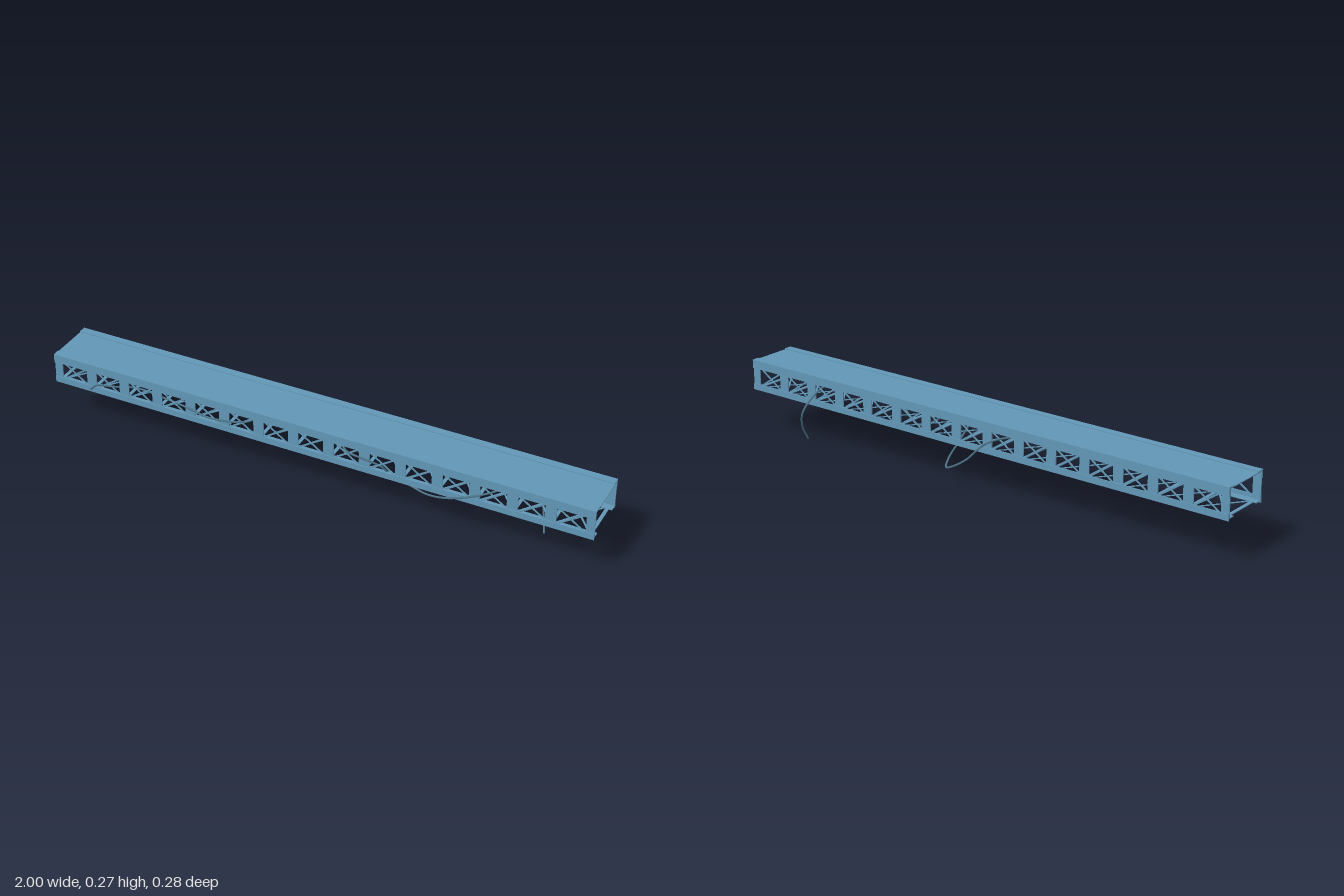
import * as THREE from 'three';

const steel = new THREE.MeshStandardMaterial({ color: 0x6196b5 });
const cableMat = new THREE.MeshStandardMaterial({ color: 0x4c7488 });

const PANELS = 15, PITCH = 1.965 / PANELS, ZC = 0.005; // truss bays and beam axis
const TOP = 0.267, BOTTOM = 0.155, HALF = 0.092;

function box(parent, name, w, h, d, x, y, z) {
  const m = new THREE.Mesh(new THREE.BoxGeometry(w, h, d), steel);
  m.name = name;
  m.position.set(x, y, z);
  parent.add(m);
  return m;
}

// Flat bar laid between two points, keeping its thin side along the given normal
function bar(parent, name, a, b, width, thick, normal) {
  const dir = b.clone().sub(a);
  const m = box(parent, name, dir.length(), width, thick, 0, 0, 0);
  const x = dir.normalize(), y = normal.clone().cross(x);
  m.quaternion.setFromRotationMatrix(new THREE.Matrix4().makeBasis(x, y, normal));
  m.position.copy(a).add(b).multiplyScalar(0.5);
}

function sideTruss(s) {
  const g = new THREE.Group();
  g.name = s > 0 ? 'frontTruss' : 'backTruss';
  const z = s * HALF, normal = new THREE.Vector3(0, 0, 1);
  // Angle-section chords
  box(g, 'topChord', 2, 0.031, 0.004, 0, TOP - 0.0155, z + s * 0.004);
  box(g, 'topFlange', 2, 0.003, 0.028, 0, TOP - 0.0015, z - s * 0.008);
  box(g, 'bottomChord', 2, 0.023, 0.004, 0, BOTTOM + 0.0115, z + s * 0.003);
  box(g, 'bottomFlange', 2, 0.003, 0.028, 0, 0.163, z - s * 0.011);
  // Posts
  for (let i = 0; i <= PANELS; i++) {
    const end = i === 0 || i === PANELS;
    const x = end ? Math.sign(i - 1) * 0.985 : (i - PANELS / 2) * PITCH;
    box(g, 'post', end ? 0.03 : 0.038, 0.1, 0.004, x, 0.21, z);
  }
  // Crossed diagonals
  for (let i = 0; i < PANELS; i++) {
    const x = (i - (PANELS - 1) / 2) * PITCH;
    for (const k of [-1, 1]) {
      bar(g, 'diagonal', new THREE.Vector3(x - 0.05, 0.206 - k * 0.034, z + k * 0.001),
        new THREE.Vector3(x + 0.05, 0.206 + k * 0.034, z + k * 0.001), 0.006, 0.002, normal);
    }
  }
  return g;
}

function bottomBracing() {
  const g = new THREE.Group();
  g.name = 'bottomBracing';
  const up = new THREE.Vector3(0, 1, 0);
  for (let i = 0; i <= PANELS; i++) {
    const x = (i - PANELS / 2) * PITCH;
    box(g, 'crossStrut', 0.012, 0.003, HALF * 2, x, 0.1625, 0);
    if (i === PANELS) continue;
    for (const k of [-1, 1]) {
      bar(g, 'lateralBrace', new THREE.Vector3(x, 0.162 + k * 0.001, -k * 0.085),
        new THREE.Vector3(x + PITCH, 0.162 + k * 0.001, k * 0.085), 0.006, 0.002, up);
    }
  }
  return g;
}

// Loose cable weaving through the truss
function cable() {
  const pts = [
    [-.85, .173, .112], [-.82, .2, .114], [-.77, .2, .1], [-.7, .19, .057], [-.6, .195, .07],
    [-.47, .205, .1], [-.36, .212, .128], [-.25, .215, .1], [-.18, .218, 0], [-.12, .221, -.1],
    [-.08, .2, -.125], [-.02, .14, -.138], [.04, .1, -.13], [.095, .076, -.108], [.105, .1, -.078],
    [.085, .155, -.045], [.077, .197, -.01], [.09, .215, .05], [.14, .223, .108], [.2, .215, .11],
    [.25, .19, .09], [.28, .15, .067], [.35, .12, .057], [.42, .132, .09], [.5, .167, .125],
    [.57, .2, .136], [.62, .217, .122], [.66, .225, .09], [.69, .23, .04], [.7, .215, -.05],
    [.705, .185, -.11], [.72, .14, -.137], [.75, .075, -.11], [.782, .004, -.05],
  ].map(p => new THREE.Vector3(...p));
  const curve = new THREE.CatmullRomCurve3(pts);
  const m = new THREE.Mesh(new THREE.TubeGeometry(curve, 260, 0.0035, 8), cableMat);
  m.name = 'cable';
  // Closed cable ends
  for (const t of [0, 1]) {
    const tip = new THREE.Mesh(new THREE.SphereGeometry(0.0035, 8, 6), cableMat);
    tip.name = 'cableEnd';
    tip.position.copy(curve.getPoint(t));
    m.add(tip);
  }
  return m;
}

export function createModel() {
  const model = new THREE.Group();
  const beam = new THREE.Group();
  beam.name = 'beam';
  beam.position.z = ZC;
  box(beam, 'deckPlate', 2, 0.003, HALF * 2 + 0.006, 0, 0.262, 0);
  beam.add(sideTruss(1), sideTruss(-1), bottomBracing());
  model.add(beam, cable());
  return model;
}
